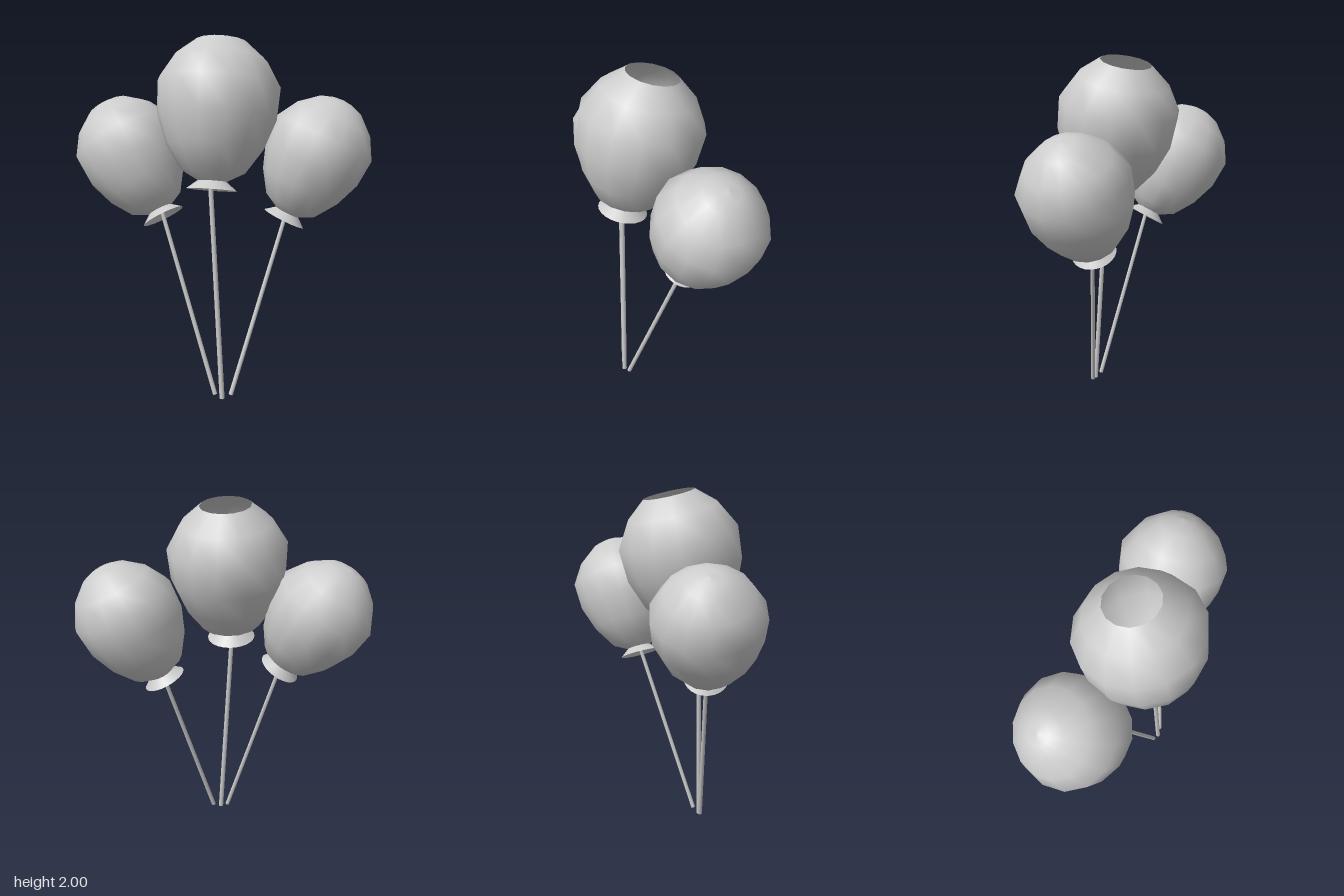
import * as THREE from 'three';

const UP = new THREE.Vector3(0, 1, 0);
const material = new THREE.MeshStandardMaterial({ color: 0xcccccc, side: THREE.DoubleSide });
const profile = (pairs) => pairs.map(([r, y]) => new THREE.Vector2(r, y));

// Balloon outline as [radius, height above the neck]
const shell = [[0.07, 0], [0.175, 0.056], [0.265, 0.19], [0.325, 0.352],
  [0.335, 0.53], [0.255, 0.665], [0.142, 0.76]];
const crown = [[0.07, 0.785], [0, 0.795]];
const skirt = [[0.138, -0.043], [0.095, -0.008], [0.055, 0.022]];

// neck: where skirt and balloon meet; axis: direction of the balloon; foot: lower string end
const balloons = [
  { name: 'middle', neck: [0.085, 1.23, 0.18], axis: [-0.09, 1, -0.205], foot: [0.17, 0.002, 0.195],
    tip: [0.085, 1.22, 0.193], scale: 1, open: true },
  { name: 'right', neck: [-0.215, 1.05, 0.285], axis: [-0.53, 0.845, 0.09], foot: [0.13, 0.02, 0.21],
    tip: [-0.205, 1.05, 0.285], scale: 0.88, open: false },
  { name: 'left', neck: [0.295, 1.03, -0.215], axis: [0.3, 0.9, -0.32], foot: [0.2, 0.02, 0.155],
    tip: [0.295, 1.03, -0.21], scale: 0.88, open: false },
];

function makeString(foot, tip, radius) {
  const a = new THREE.Vector3(...foot);
  const b = new THREE.Vector3(...tip);
  const dir = b.clone().sub(a);
  const mesh = new THREE.Mesh(new THREE.CylinderGeometry(radius * 0.9, radius, dir.length(), 8), material);
  mesh.position.copy(a).add(b).multiplyScalar(0.5);
  mesh.quaternion.setFromUnitVectors(UP, dir.normalize());
  mesh.name = 'string';
  return mesh;
}

export function createModel() {
  const model = new THREE.Group();
  model.name = 'balloonBunch';

  for (const { name, neck, axis, foot, tip, scale, open } of balloons) {
    const group = new THREE.Group();
    group.name = `${name}Balloon`;

    // Balloon skin and flared skirt share one tilted axis
    const head = new THREE.Group();
    head.name = 'head';
    head.position.set(...neck);
    head.quaternion.setFromUnitVectors(UP, new THREE.Vector3(...axis).normalize());
    head.scale.setScalar(scale);

    const outline = open ? shell : [...shell, ...crown];
    const skin = new THREE.Mesh(new THREE.LatheGeometry(profile(outline), 14), material);
    skin.name = 'skin';
    const flare = new THREE.Mesh(new THREE.LatheGeometry(profile(skirt), 24), material);
    flare.name = 'skirt';
    head.add(skin, flare);

    group.add(head, makeString(foot, tip, 0.0145 * scale));
    model.add(group);
  }
  return model;
}
